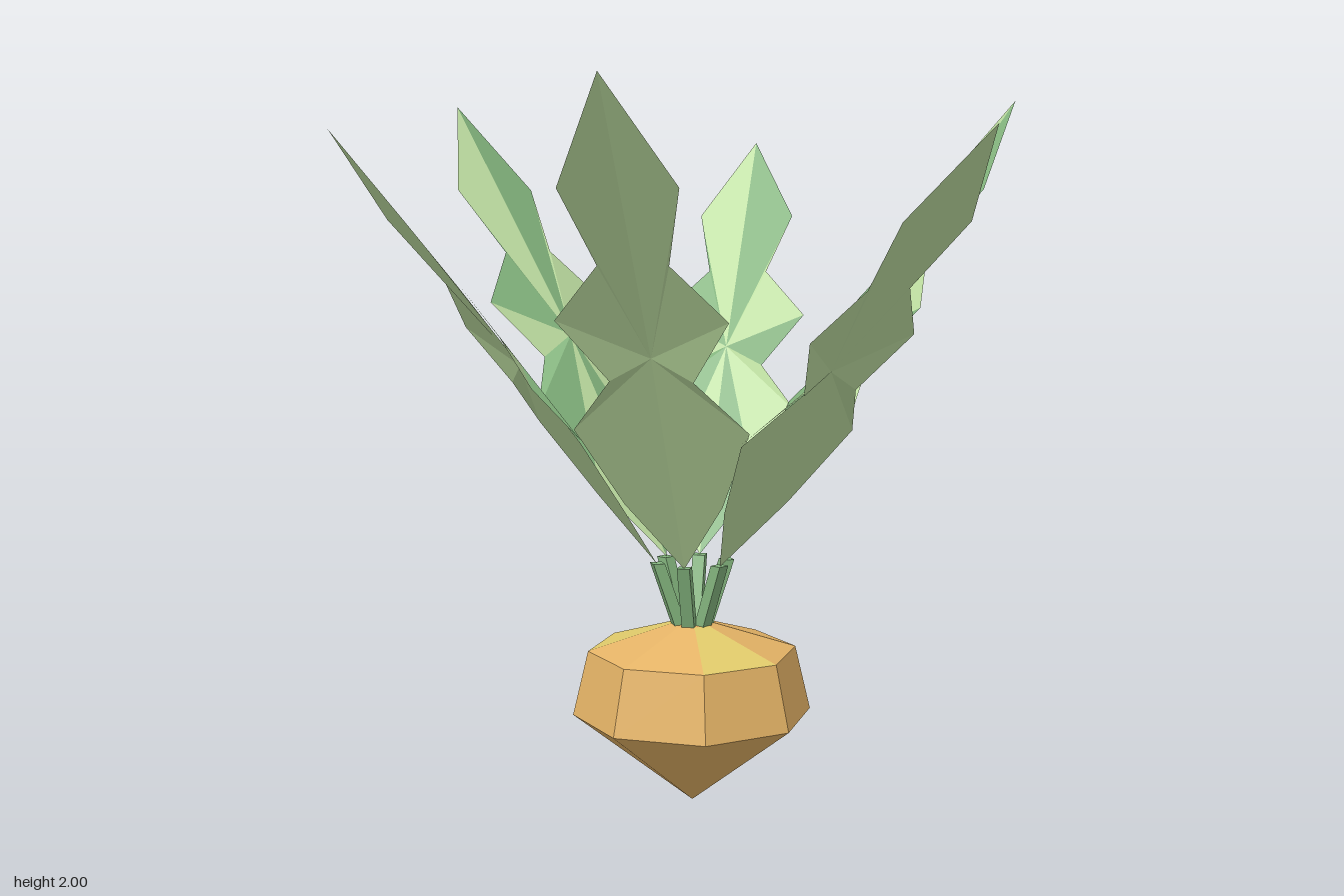
import * as THREE from 'three';

const mat = (name, color) => {
  const m = new THREE.MeshStandardMaterial({ color });
  m.name = name;
  return m;
};

// Faceted copy of a geometry, one normal per face
function faceted(geo) {
  const g = geo.index ? geo.toNonIndexed() : geo;
  g.computeVertexNormals();
  return g;
}

function add(parent, name, geo, material) {
  const mesh = new THREE.Mesh(faceted(geo), material);
  mesh.name = name;
  parent.add(mesh);
  return mesh;
}

// Half of the leaf outline from tip to base: [outward, sideways, height]
const OUTLINE = [
  [0.985, 0, 2.0], [0.815, 0.148, 1.745], [0.67, 0.09, 1.56], [0.592, 0.222, 1.42],
  [0.485, 0.11, 1.26], [0.38, 0.235, 1.12], [0.235, 0.135, 0.9], [0.1, 0, 0.7],
];
const HUB = [0.487, 0, 1.32];
// Shade of each facet along one half; the other half is the opposite
const LIGHT_FACETS = [true, false, false, true, false, false, true];

// Triangles fanned round the hub, sorted into light, mid and outer surfaces
function leafSurfaces(heightScale) {
  const light = [], mid = [], outer = [];
  const point = ([r, s, y], side) => [r, 0.7 + (y - 0.7) * heightScale, -s * side];
  for (const side of [1, -1]) {
    LIGHT_FACETS.forEach((isLight, i) => {
      const hub = point(HUB, side);
      let a = point(OUTLINE[i], side), b = point(OUTLINE[i + 1], side);
      if (side < 0) [a, b] = [b, a];
      (isLight === side > 0 ? light : mid).push(...hub, ...a, ...b);
      outer.push(...hub, ...b, ...a);
    });
  }
  return [light, mid, outer].map((list) => {
    const g = new THREE.BufferGeometry();
    g.setAttribute('position', new THREE.Float32BufferAttribute(list, 3));
    return g;
  });
}

export function createModel() {
  const lightGreen = mat('light leaf green', 0xbfdfa2);
  const midGreen = mat('mid leaf green', 0x84b57e);
  const orange = mat('root orange', 0xe4b366);
  const yellow = mat('root yellow', 0xe0ca6a);

  const model = new THREE.Group();
  model.name = 'rootVegetable';

  // Eight-sided root: pointed bottom, slanted belt, shallow shoulder
  const root = new THREE.Group();
  root.name = 'root';
  model.add(root);
  add(root, 'rootPoint', new THREE.CylinderGeometry(0.342, 0.002, 0.26, 8, 1, true), orange).position.y = 0.13;
  add(root, 'rootBelt', new THREE.CylinderGeometry(0.298, 0.342, 0.185, 8, 1, true), orange).position.y = 0.3525;
  const shoulder = new THREE.CylinderGeometry(0.06, 0.298, 0.075, 8);
  shoulder.clearGroups();
  for (let i = 0; i < 8; i++) shoulder.addGroup(i * 6, 6, i === 0 || i === 5 ? 1 : 0);
  shoulder.addGroup(48, 48, 0);
  add(root, 'rootShoulder', shoulder, [orange, yellow]).position.y = 0.4825;

  // Six stems and leaves, alternating tall and short
  for (let i = 0; i < 6; i++) {
    const frond = new THREE.Group();
    frond.name = 'frond' + (i + 1);
    frond.rotation.y = -THREE.MathUtils.degToRad(-11.7 + i * 60);
    model.add(frond);

    // Stem leaning outward from the crown
    const stem = new THREE.BoxGeometry(0.034, 0.2, 0.036);
    const p = stem.attributes.position;
    for (let k = 0; k < p.count; k++) {
      p.setX(k, p.getX(k) + (p.getY(k) > 0 ? 0.103 : 0.034));
    }
    add(frond, 'stem', stem, midGreen).position.y = 0.6;

    // Patterned inner side, and a plain outer side a hair outside it
    const [light, mid, outer] = leafSurfaces(i % 2 ? 0.923 : 1);
    add(frond, 'leafLightFacets', light, lightGreen);
    add(frond, 'leafMidFacets', mid, midGreen);
    add(frond, 'leafOuterSide', outer, lightGreen).position.set(0.004, -0.003, 0);
  }
  return model;
}
